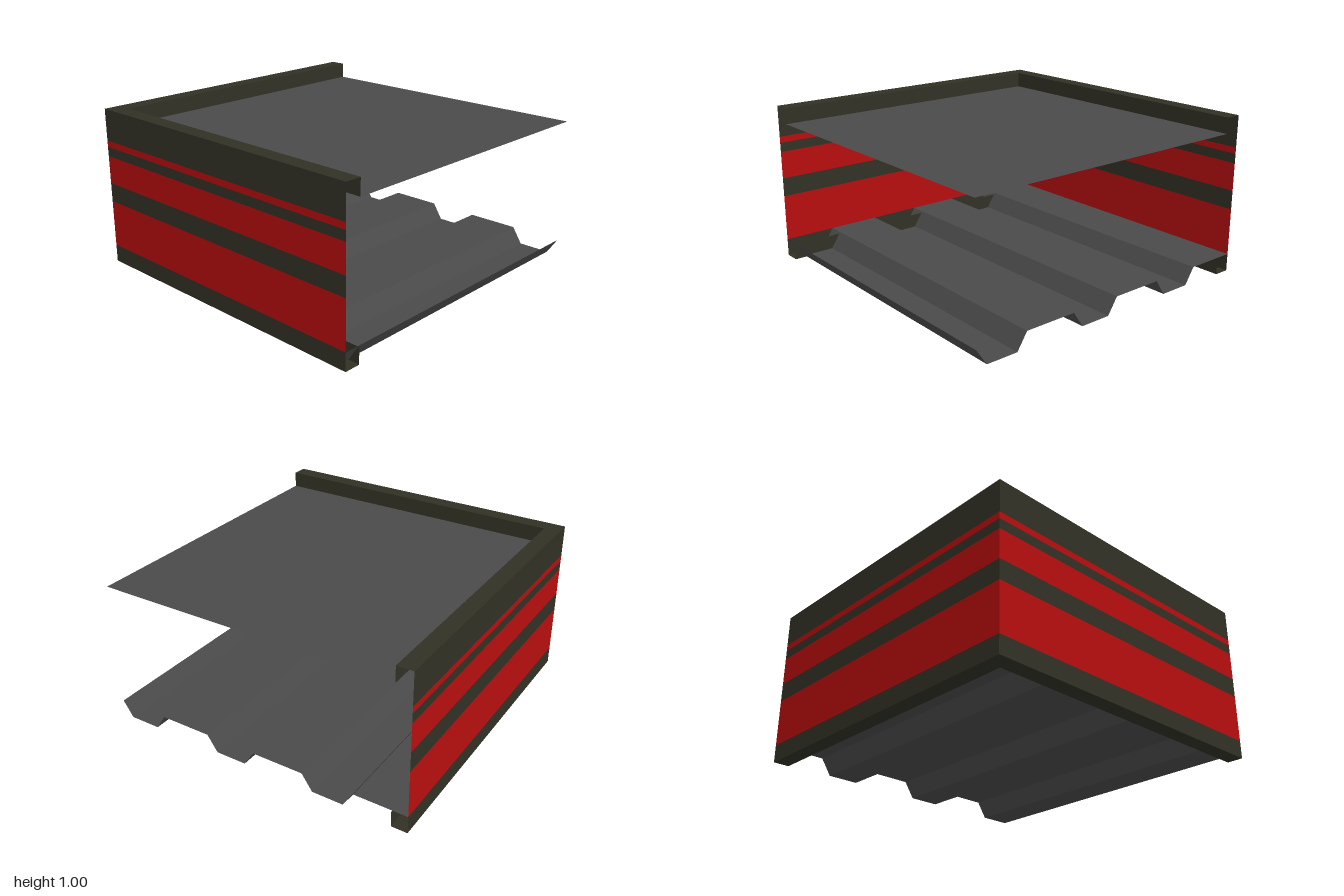
import * as THREE from 'three';

const mat = (name, color) => new THREE.MeshStandardMaterial({ name, color, side: THREE.DoubleSide, flatShading: true });

// Open sheet: an x/y profile swept straight along z from a to b.
function sheet(name, profile, a, b, material) {
  const pos = [];
  for (let i = 0; i < profile.length - 1; i++) {
    const [x0, y0] = profile[i], [x1, y1] = profile[i + 1];
    pos.push(x0, y0, a, x0, y0, b, x1, y1, b, x0, y0, a, x1, y1, b, x1, y1, a);
  }
  const geo = new THREE.BufferGeometry();
  geo.setAttribute('position', new THREE.Float32BufferAttribute(pos, 3));
  geo.computeVertexNormals();
  const mesh = new THREE.Mesh(geo, material);
  mesh.name = name;
  return mesh;
}

export function createModel() {
  const olive = mat('dark olive trim', 0x313125);
  const red = mat('red stripe', 0xb80e0e);
  const grey = mat('dark grey metal', 0x4a4a4a);
  const model = new THREE.Group();
  model.name = 'canopyCorner';

  // One striped fascia on x = -1, with returned lips at its top and bottom
  const levels = [0, 0.11, 0.405, 0.525, 0.7, 0.76, 0.8, 1];
  function fascia(name, lipRange, innerRange) {
    const g = new THREE.Group();
    g.name = name;
    for (let i = 0; i < levels.length - 1; i++) {
      const isRed = i % 2 === 1;
      g.add(sheet(isRed ? 'redBand' : 'oliveBand', [[-1, levels[i]], [-1, levels[i + 1]]], -1, 1, isRed ? red : olive));
    }
    for (const [part, y, yIn] of [['topLip', 1, 0.9], ['bottomLip', 0, 0.1]]) {
      g.add(sheet(part, [[-1, y], [-0.9, y]], ...lipRange, olive));
      g.add(sheet(part + 'Return', [[-0.9, y], [-0.9, yIn]], ...innerRange, olive));
    }
    return g;
  }
  model.add(fascia('rightFascia', [-1, 0.9], [-1, 0.9]));
  const front = fascia('frontFascia', [-1, 1], [-0.9, 1]);
  front.rotation.y = Math.PI / 2;
  model.add(front);

  // Flat roof inside the lips
  model.add(sheet('roof', [[1, 0.9], [-0.9, 0.9]], -1, 0.9, grey));

  // Corrugated ceiling deck, three ribs running front to back
  const deck = [];
  for (let i = 0; i < 3; i++) {
    const x = 1 - i * 2 / 3;
    deck.push([x, 0.11], [x - 0.067, 0.01], [x - 0.267, 0.01], [x - 0.333, 0.11]);
  }
  deck.push([-1, 0.11]);
  model.add(sheet('corrugatedDeck', deck, -1, 1, grey));

  return model;
}
